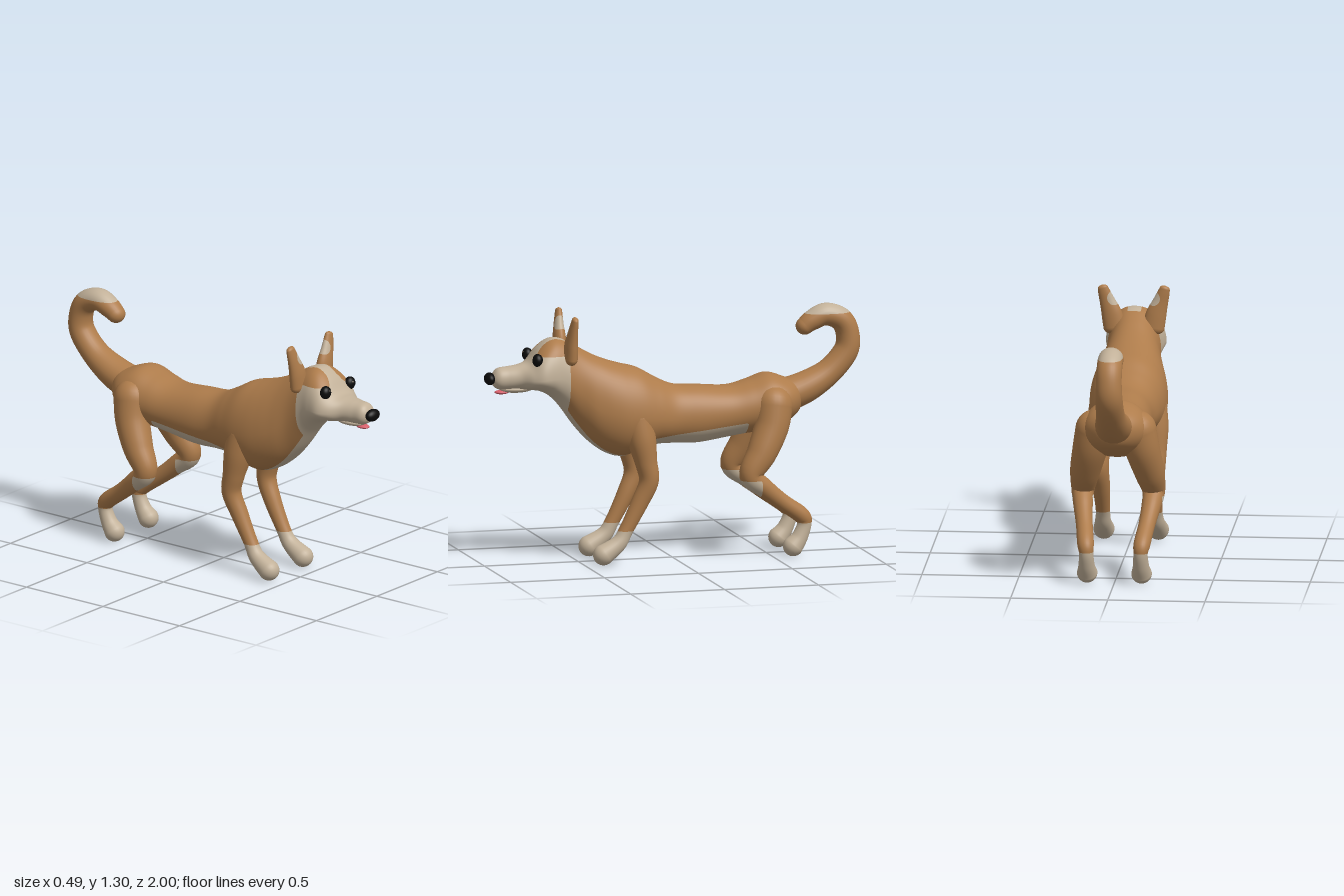
import * as THREE from 'three';

const mat = (name, color) => Object.assign(new THREE.MeshStandardMaterial({ color }), { name });

// Smooth interpolation through rows of numbers, t in 0..1
function spline(rows, t) {
  const n = rows.length - 1, u = Math.min(t * n, n - 1e-6), i = Math.floor(u), f = u - i;
  const [a, b, c, d] = [-1, 0, 1, 2].map(k => rows[Math.min(n, Math.max(0, i + k))]);
  return b.map((q, k) => q + 0.5 * f * (c[k] - a[k]
    + f * (2 * a[k] - 5 * q + 4 * c[k] - d[k] + f * (3 * (q - c[k]) + d[k] - a[k]))));
}

// Skin closed rings, then cut the surface where rule(p) changes sign:
// group 0 is the main coat, group 1 the pale marking
function skin(rings, rule) {
  const m = rings[0].length, index = [];
  for (let i = 0; i < rings.length - 1; i++) {
    for (let j = 0; j < m; j++) {
      const k = (j + 1) % m, a = i * m + j, b = i * m + k;
      index.push(a, b, a + m, b, b + m, a + m);
    }
  }
  const smooth = new THREE.BufferGeometry().setFromPoints(rings.flat());
  smooth.setIndex(index);
  smooth.computeVertexNormals();
  const P = smooth.attributes.position, N = smooth.attributes.normal;
  const verts = Array.from({ length: P.count }, (_, i) => {
    const p = new THREE.Vector3().fromBufferAttribute(P, i);
    return { p, n: new THREE.Vector3().fromBufferAttribute(N, i), f: rule(p) };
  });
  const pos = [[], []], nor = [[], []];
  for (let i = 0; i < index.length; i += 3) {
    const tri = [0, 1, 2].map(k => verts[index[i + k]]);
    [-1, 1].forEach((sign, side) => {
      const poly = [];
      tri.forEach((a, k) => {
        const b = tri[(k + 1) % 3], inA = (a.f >= 0) === (sign > 0), inB = (b.f >= 0) === (sign > 0);
        if (inA) poly.push(a);
        if (inA !== inB) {
          const t = a.f / (a.f - b.f);
          poly.push({ p: a.p.clone().lerp(b.p, t), n: a.n.clone().lerp(b.n, t).normalize() });
        }
      });
      for (let k = 1; k + 1 < poly.length; k++) {
        for (const v of [poly[0], poly[k], poly[k + 1]]) {
          pos[side].push(...v.p.toArray());
          nor[side].push(...v.n.toArray());
        }
      }
    });
  }
  const g = new THREE.BufferGeometry();
  g.setAttribute('position', new THREE.Float32BufferAttribute(pos[0].concat(pos[1]), 3));
  g.setAttribute('normal', new THREE.Float32BufferAttribute(nor[0].concat(nor[1]), 3));
  g.addGroup(0, pos[0].length / 3, 0);
  g.addGroup(pos[0].length / 3, pos[1].length / 3, 1);
  return g;
}

// Round-ended limb through rows of [x, y, z, radius]; wide stretches it sideways
function limb(rows, wide = 1, steps = 56, sides = 28) {
  const rings = [], at = t => spline(rows, t);
  const ring = (c, T, r) => {
    const S = new THREE.Vector3(1, 0, 0).addScaledVector(T, -T.x).normalize();
    const U = new THREE.Vector3().crossVectors(T, S);
    rings.push(Array.from({ length: sides }, (_, j) => {
      const a = j / sides * Math.PI * 2;
      return c.clone().addScaledVector(S, Math.cos(a) * r * wide).addScaledVector(U, Math.sin(a) * r);
    }));
  };
  const frame = t => {
    const v = at(t), a = at(Math.max(0, t - 0.01)), b = at(Math.min(1, t + 0.01));
    const T = new THREE.Vector3(b[0] - a[0], b[1] - a[1], b[2] - a[2]).normalize();
    return { c: new THREE.Vector3(v[0], v[1], v[2]), T, r: v[3] };
  };
  const cap = (t, dir) => {
    const { c, T, r } = frame(t);
    for (let k = 1; k <= 8; k++) {
      const a = (dir > 0 ? k : 9 - k) / 8 * Math.PI / 2 * 0.998;
      ring(c.clone().addScaledVector(T, dir * r * Math.sin(a)), T, r * Math.cos(a));
    }
  };
  cap(0, -1);
  for (let i = 0; i <= steps; i++) {
    const { c, T, r } = frame(i / steps);
    ring(c, T, r);
  }
  cap(1, 1);
  return rings;
}

// Head and torso sections from rump to muzzle: [z, top, bottom, half width, height of widest point]
const BODY = [
  [-0.69, 0.83, 0.79, 0.01, 0.81], [-0.66, 0.88, 0.73, 0.09, 0.81], [-0.59, 0.915, 0.68, 0.155, 0.8],
  [-0.5, 0.94, 0.64, 0.17, 0.79], [-0.4, 0.91, 0.635, 0.16, 0.77], [-0.29, 0.885, 0.62, 0.15, 0.75],
  [-0.13, 0.895, 0.597, 0.15, 0.74], [0, 0.905, 0.6, 0.15, 0.74], [0.1, 0.95, 0.598, 0.175, 0.75],
  [0.19, 1.0, 0.57, 0.195, 0.76], [0.28, 1.025, 0.545, 0.2, 0.77], [0.36, 1.05, 0.565, 0.19, 0.79],
  [0.44, 1.085, 0.62, 0.17, 0.82], [0.52, 1.13, 0.705, 0.145, 0.9], [0.6, 1.17, 0.815, 0.14, 0.97],
  [0.66, 1.17, 0.875, 0.15, 0.98], [0.72, 1.125, 0.905, 0.155, 0.975], [0.77, 1.06, 0.912, 0.13, 0.972],
  [0.82, 1.043, 0.915, 0.085, 0.975], [0.88, 1.035, 0.915, 0.065, 0.972], [0.93, 1.028, 0.92, 0.057, 0.972],
  [0.955, 1.0, 0.94, 0.035, 0.97], [0.96, 0.975, 0.965, 0.004, 0.97],
];
const TAIL = [
  [0, 0.81, -0.58, 0.09], [0, 0.855, -0.71, 0.082], [0, 0.93, -0.835, 0.068], [0, 1.035, -0.925, 0.064],
  [0, 1.13, -0.932, 0.06], [0, 1.2, -0.895, 0.06], [0, 1.228, -0.815, 0.058], [0, 1.2, -0.745, 0.053],
  [0, 1.172, -0.705, 0.046],
];
const FRONT_LEG = [
  [0.115, 0.75, 0.22, 0.085], [0.135, 0.64, 0.2, 0.075], [0.145, 0.53, 0.18, 0.058], [0.145, 0.43, 0.165, 0.051],
  [0.137, 0.32, 0.21, 0.045], [0.135, 0.18, 0.282, 0.037], [0.138, 0.11, 0.325, 0.042], [0.14, 0.055, 0.405, 0.054],
];
const HIND_LEG = [
  [0.11, 0.79, -0.51, 0.098], [0.135, 0.68, -0.49, 0.09], [0.165, 0.55, -0.43, 0.078], [0.182, 0.44, -0.368, 0.06],
  [0.175, 0.37, -0.44, 0.05], [0.16, 0.29, -0.54, 0.043], [0.145, 0.215, -0.645, 0.043],
  [0.14, 0.17, -0.665, 0.037], [0.14, 0.1, -0.64, 0.042], [0.14, 0.054, -0.605, 0.053],
];
const EAR = [
  [0.1, 1.08, 0.57, 0.036], [0.115, 1.15, 0.57, 0.033], [0.137, 1.215, 0.567, 0.025],
  [0.152, 1.26, 0.563, 0.02], [0.159, 1.284, 0.561, 0.017],
];

// Pale marking rules, positive inside the marking
const coat = p => {
  const x = Math.abs(p.x);
  const blaze = 0.035 + Math.max(0, 1.14 - p.y) * 0.5 - x;
  const face = Math.min(p.z - 0.578, Math.max(1.093 - p.y, blaze));
  const chest = Math.min(p.z - 0.1, 0.072 - x, 0.85 - p.y);
  const belly = Math.min(0.19 - p.z, p.z + 0.37, 0.66 - 0.12 * p.z - p.y);
  return Math.max(face, chest, belly);
};
const sock = p => 0.175 - p.y;
const hindSock = p => Math.max(sock(p), Math.min(0.415 - p.y, p.z + 0.42));
const tailPatch = p => p.y - 1.237;
const earPatch = p => 0.038 - Math.hypot(Math.abs(p.x) - 0.098, p.y - 1.235);

export function createModel() {
  const dog = new THREE.Group();
  dog.name = 'dog';
  const tan = mat('tan fur', 0xae7c4b), cream = mat('cream fur', 0xc2b199);
  const black = mat('black', 0x0b0b0b), pink = mat('pink tongue', 0xd8606c);
  const add = (name, geo, material) => {
    const mesh = new THREE.Mesh(geo, material);
    mesh.name = name;
    dog.add(mesh);
    return mesh;
  };
  const fur = (name, rings, rule) => add(name, skin(rings, rule), [tan, cream]);
  const blob = (name, material, p, s) => {
    const mesh = add(name, new THREE.SphereGeometry(1, 28, 18), material);
    mesh.position.set(...p);
    mesh.scale.set(...s);
  };

  // Head and torso in one skin
  const bodyRings = Array.from({ length: 141 }, (_, i) => {
    const [z, top, bottom, w, mid] = spline(BODY, i / 140);
    return Array.from({ length: 64 }, (_, j) => {
      const a = j / 64 * Math.PI * 2, c = Math.cos(a), s = Math.sin(a);
      return new THREE.Vector3(w * Math.sign(c) * Math.abs(c) ** 0.88, mid + s * (s > 0 ? top - mid : mid - bottom), z);
    });
  });
  fur('body', bodyRings, coat);
  fur('tail', limb(TAIL, 1.1), tailPatch);

  // Muzzle details
  blob('nose', black, [0, 0.975, 0.972], [0.048, 0.032, 0.028]);
  blob('lowerJaw', cream, [0, 0.918, 0.83], [0.05, 0.021, 0.09]);
  blob('tongue', pink, [0, 0.903, 0.908], [0.027, 0.011, 0.038]);

  // Paired parts
  for (const [side, s] of [['left', 1], ['right', -1]]) {
    const flip = rows => rows.map(([x, ...rest]) => [x * s, ...rest]);
    fur(side + 'FrontLeg', limb(flip(FRONT_LEG)), sock);
    fur(side + 'HindLeg', limb(flip(HIND_LEG)), hindSock);
    fur(side + 'Ear', limb(flip(EAR), 1.6), earPatch);
    blob(side + 'Eye', black, [s * 0.1, 1.076, 0.744], [0.032, 0.034, 0.027]);
    blob(side + 'EyeGlint', cream, [s * 0.095, 1.088, 0.768], [0.004, 0.004, 0.003]);
  }
  return dog;
}
